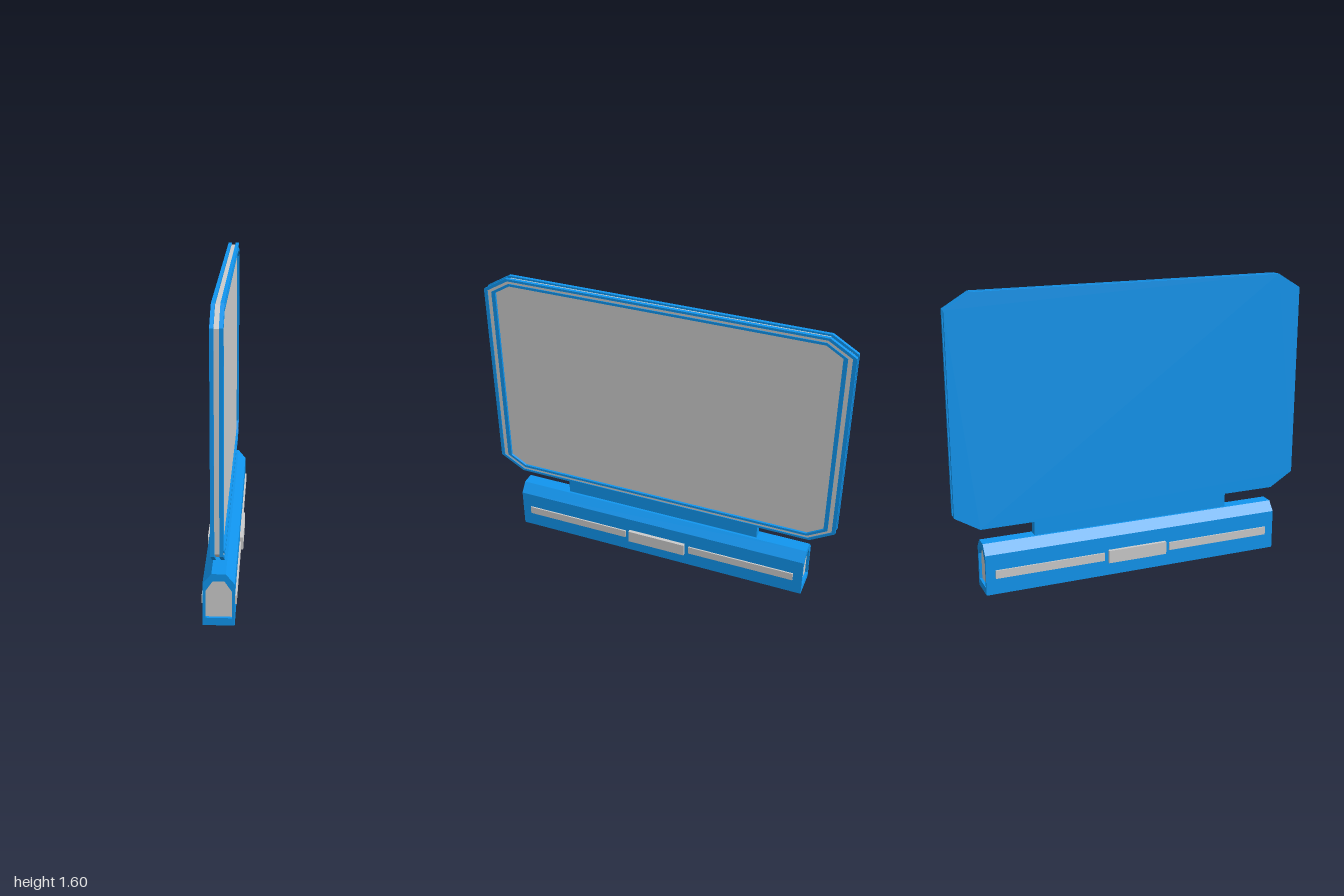
import * as THREE from 'three';

const blue = new THREE.MeshStandardMaterial({ color: 0x1095ee, flatShading: true });
const grey = new THREE.MeshStandardMaterial({ color: 0xcccccc, flatShading: true });

// Points of the panel outline (z, y), scaled by s, with a corner cut of cz by cy
function outline(s, cz, cy) {
  const w = s, h = 0.621 * s, mid = 0.976;
  return [
    [w, h - cy], [w - cz, h], [cz - w, h], [-w, h - cy],
    [-w, cy - h], [cz - w, -h], [w - cz, -h], [w, cy - h],
  ].map(([a, b]) => new THREE.Vector2(a, b + mid));
}

const OUTER = outline(1, 0.135, 0.082);
const CORE = outline(0.984, 0.13, 0.078);
const GROOVE_OUT = outline(0.98, 0.125, 0.075);
const GROOVE_IN = outline(0.957, 0.107, 0.065);
const SCREEN = outline(0.935, 0.088, 0.054);

function extrude(points, hole, depth) {
  const shape = new THREE.Shape(points);
  if (hole) shape.holes.push(new THREE.Path(hole));
  return new THREE.ExtrudeGeometry(shape, { depth, bevelEnabled: false });
}

export function createModel() {
  const model = new THREE.Group();

  function add(name, geometry, material) {
    const mesh = new THREE.Mesh(geometry, material);
    mesh.name = name;
    model.add(mesh);
    return mesh;
  }
  // Plate lying in the zy plane, between x0 and x1
  function plate(name, points, hole, x0, x1, material) {
    add(name, extrude(points, hole, x1 - x0).rotateY(Math.PI / 2).translate(x0, 0, 0), material);
  }
  function box(name, x, y0, y1, z0, z1, material) {
    const g = new THREE.BoxGeometry(2 * x, y1 - y0, z1 - z0);
    add(name, g.translate(0, (y0 + y1) / 2, (z0 + z1) / 2), material);
  }

  // Display panel: back shell, core and framed screen on +x
  plate('backShell', OUTER, null, -0.03, -0.012, blue);
  plate('panelCore', CORE, null, -0.012, 0.012, grey);
  plate('outerFrame', OUTER, GROOVE_OUT, 0.012, 0.03, blue);
  plate('frameInlay', GROOVE_OUT, GROOVE_IN, 0.012, 0.026, grey);
  plate('innerFrame', GROOVE_IN, SCREEN, 0.012, 0.03, blue);
  plate('screen', SCREEN, null, 0.012, 0.018, grey);

  // Neck
  box('neck', 0.022, 0.27, 0.37, -0.57, 0.57, blue);

  // Base with chamfered top and recessed end caps
  const profile = (w, y0, y1, top, y2) =>
    [[-w, y0], [w, y0], [w, y1], [top, y2], [-top, y2], [-w, y1]].map(([a, b]) => new THREE.Vector2(a, b));
  const body = profile(0.078, 0, 0.224, 0.035, 0.276);
  const cap = profile(0.064, 0.04, 0.185, 0.028, 0.238);
  add('baseBody', extrude(body, cap, 1.716).translate(0, 0, -0.858), blue);
  add('endCaps', extrude(cap, null, 1.686).translate(0, 0, -0.843), grey);

  // Side strips run through the base and show on both sides
  for (const s of [-1, 1]) {
    const z = s * 0.5;
    box(s > 0 ? 'frontStrip' : 'backStrip', 0.086, 0.09, 0.136, z - 0.306, z + 0.306, grey);
  }
  box('centreStrip', 0.097, 0.076, 0.148, -0.17, 0.17, grey);

  return model;
}
